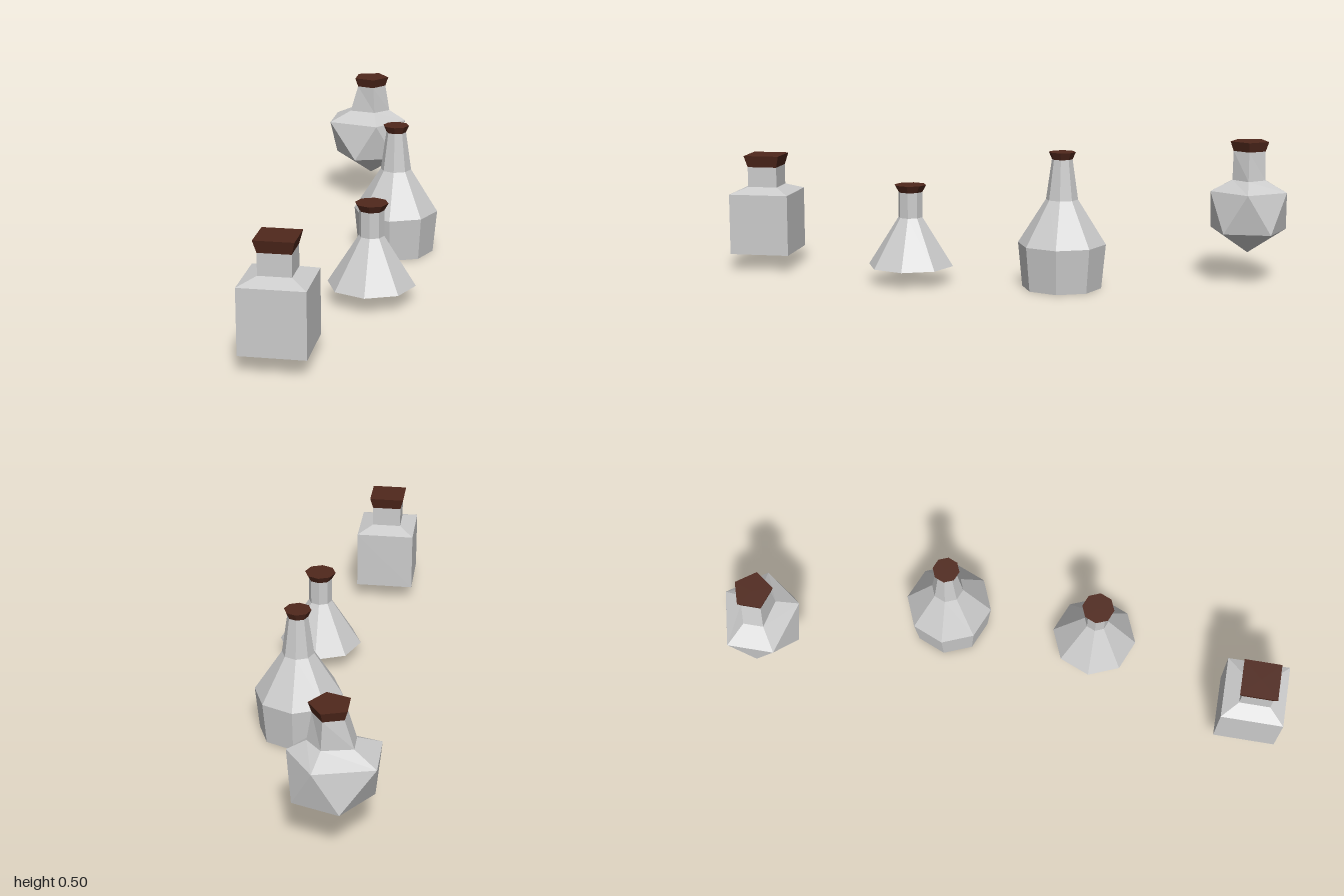
import * as THREE from 'three';

const glass = new THREE.MeshStandardMaterial({ color: 0xcccccc, flatShading: true });
const cork = new THREE.MeshStandardMaterial({ color: 0x50281c, flatShading: true });

// Faceted solid of revolution from [radius, height] pairs, listed upwards
function turned(name, profile, sides, material) {
  const points = profile.map(([r, y]) => new THREE.Vector2(r, y));
  const start = sides === 4 ? Math.PI / 4 : 0;
  const geometry = new THREE.LatheGeometry(points, sides, start).toNonIndexed();
  geometry.computeVertexNormals();
  const mesh = new THREE.Mesh(geometry, material);
  mesh.name = name;
  return mesh;
}

function bottle(name, x, z, ...parts) {
  const group = new THREE.Group();
  group.name = name;
  group.position.set(x, 0, z);
  group.add(...parts);
  return group;
}

// Five-sided ring; pull shifts the two left-hand corners along x
function ring(radius, y, turn = 0, stretch = 1, pull = 0) {
  return Array.from({ length: 5 }, (_, i) => {
    const a = (i + turn) * Math.PI * 2 / 5;
    const shift = i === 2 || i === 3 ? pull : 0;
    return new THREE.Vector3(Math.cos(a) * radius * stretch + shift, y, Math.sin(a) * radius);
  });
}

// Twenty-faced bulb whose upper tip is drawn out into a neck
function bulbBody() {
  const tip = new THREE.Vector3(0, 0.106, 0);
  const low = ring(0.139, 0.187, 0.5);
  const high = ring(0.139, 0.328, 0, 1, -0.039);
  const neck = ring(0.06, 0.367, 0, 1.25, -0.016);
  const mouth = ring(0.058, 0.468);
  const points = [];
  for (let i = 0; i < 5; i++) {
    const j = (i + 1) % 5;
    points.push(tip, low[i], low[j]);
    points.push(low[i], high[i], high[j], low[i], high[j], low[j]);
    for (const [a, b] of [[high, neck], [neck, mouth]]) {
      points.push(a[i], b[i], b[j], a[i], b[j], a[j]);
    }
  }
  const geometry = new THREE.BufferGeometry().setFromPoints(points);
  geometry.computeVertexNormals();
  const mesh = new THREE.Mesh(geometry, glass);
  mesh.name = 'bulbBody';
  return mesh;
}

export function createModel() {
  const model = new THREE.Group();
  model.name = 'bottles';
  const q = Math.SQRT2; // half width to corner radius

  // Square bottle
  model.add(bottle('squareBottle', -0.096, 0.891,
    turned('squareBody', [[0, 0.06], [0.109 * q, 0.06], [0.109 * q, 0.28],
      [0.054 * q, 0.302], [0.054 * q, 0.375]], 4, glass),
    turned('squareCork', [[0, 0.375], [0.054 * q, 0.375], [0.065 * q, 0.417], [0, 0.417]], 4, cork)));

  // Conical flask with a dark base
  model.add(bottle('conicalFlask', 0.095, 0.305,
    turned('flaskBody', [[0.152, 0.06], [0.043, 0.232], [0.043, 0.322]], 8, glass),
    turned('flaskBase', [[0, 0.06], [0.152, 0.06]], 8, cork),
    turned('flaskCork', [[0, 0.322], [0.043, 0.322], [0.057, 0.347], [0, 0.347]], 8, cork)));

  // Tall bottle
  model.add(bottle('tallBottle', 0.097, -0.233,
    turned('tallBody', [[0, 0], [0.139, 0], [0.154, 0.155], [0.056, 0.31], [0.036, 0.45]], 8, glass),
    turned('tallCork', [[0, 0.45], [0.036, 0.45], [0.047, 0.475], [0, 0.475]], 8, cork)));

  // Round bottle
  const stopper = turned('bulbCork', [[0, 0.468], [0.058, 0.468], [0.07, 0.502], [0, 0.502]], 5, cork);
  stopper.rotation.y = Math.PI / 2;
  model.add(bottle('roundBottle', -0.1, -0.868, bulbBody(), stopper));

  return model;
}
